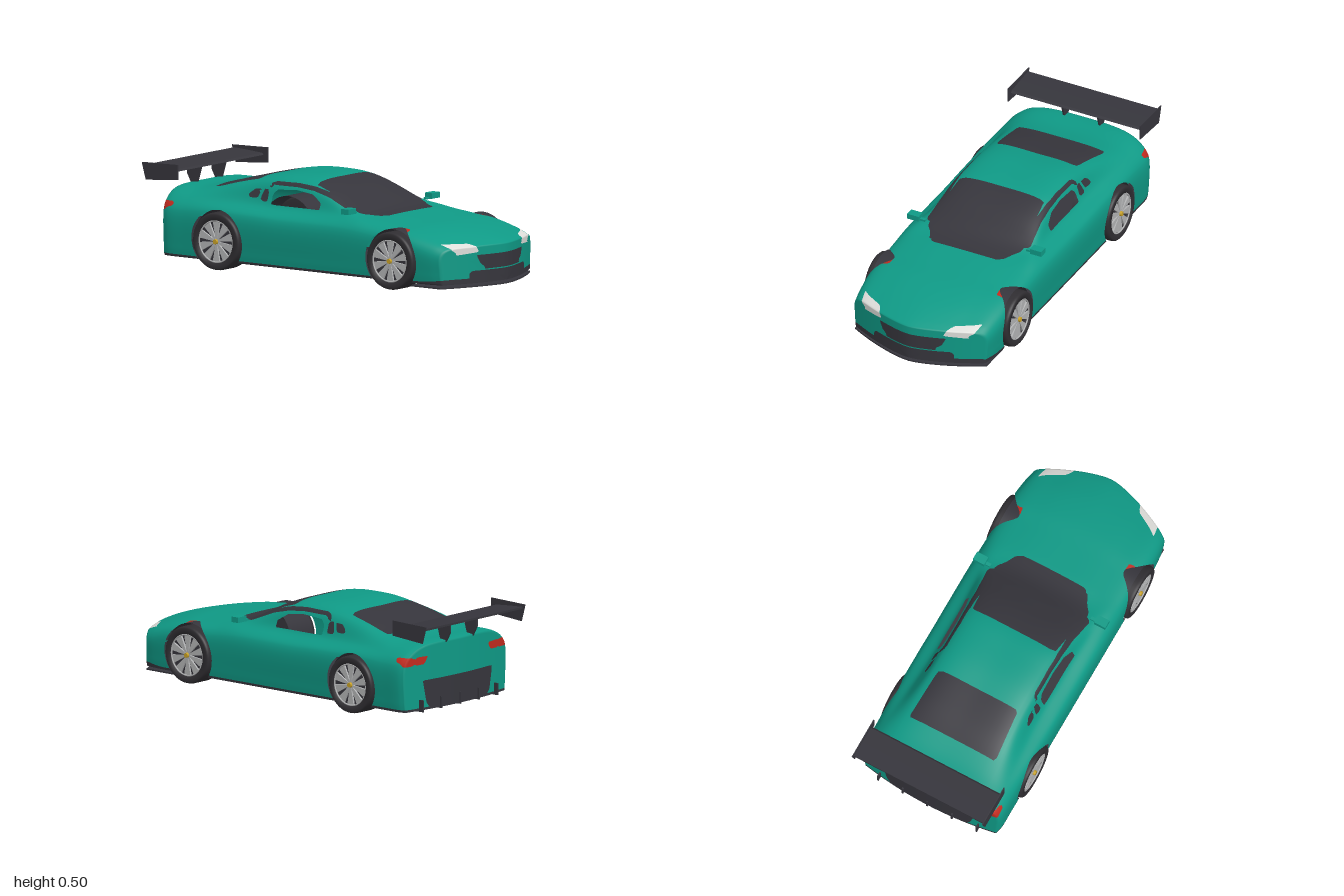
import * as THREE from 'three';

const mat = (name, color) => Object.assign(new THREE.MeshStandardMaterial({ color, side: THREE.DoubleSide }), { name });
const { smoothstep } = THREE.MathUtils;

// Body stations: z, half width, side top y, shoulder x, y, roof edge x, y, centre y
const STATIONS = [
  [1.0, .37, .19, .342, .217, .2, .228, .23],
  [.95, .38, .2, .35, .235, .22, .246, .25],
  [.84, .387, .225, .355, .26, .22, .278, .283],
  [.7, .388, .245, .357, .28, .22, .303, .31],
  [.57, .388, .25, .357, .288, .22, .314, .322],
  [.43, .388, .262, .352, .303, .22, .328, .335],
  [.31, .388, .275, .338, .325, .25, .338, .347],
  [.2, .388, .28, .325, .335, .27, .375, .4],
  [.09, .388, .28, .315, .34, .262, .42, .45],
  [-.02, .388, .28, .31, .34, .255, .45, .48],
  [-.14, .388, .28, .31, .34, .25, .46, .487],
  [-.26, .388, .285, .31, .34, .25, .458, .484],
  [-.38, .388, .287, .315, .342, .25, .443, .466],
  [-.5, .388, .29, .325, .342, .255, .42, .441],
  [-.62, .388, .287, .335, .34, .26, .392, .41],
  [-.74, .388, .28, .345, .335, .262, .375, .386],
  [-.86, .386, .28, .343, .335, .262, .372, .382],
  [-.895, .376, .28, .338, .33, .258, .368, .378],
];
const WHEEL_Z = [.57, -.517], WHEEL_Y = .145, FLOOR = .045;

// Bows the nose and tail in plan
function bow(x, z) {
  const nose = smoothstep(z, .45, 1) * (.2 * (Math.sqrt(x * x + .0016) - .04) + .5 * x * x);
  return z - nose + smoothstep(-z, .6, .9) * .25 * x * x;
}

// Smooth closed shell, returned as triangles of [x, y, z, nx, ny, nz]
function bodyTriangles() {
  const controls = STATIONS.map(([z, w, sy, bx, by, rx, ry, ty]) => {
    const half = [[w * .985, FLOOR], [w, .1], [w, sy], [bx, by], [rx, ry]];
    const mirrored = half.map(([x, y]) => [-x, y]).reverse();
    return [...half, [0, ty], ...mirrored].map(([x, y]) => new THREE.Vector3(x, y, z));
  });
  const rails = controls[0].map((_, k) => new THREE.CatmullRomCurve3(controls.map(c => c[k])));
  const steps = (STATIONS.length - 1) * 6, rings = [];
  for (let i = 0; i <= steps; i++) {
    const ring = new THREE.CatmullRomCurve3(rails.map(r => r.getPoint(i / steps))).getPoints(80);
    const a = ring[80], b = ring[0];
    for (let j = 1; j <= 16; j++) ring.push(a.clone().lerp(b, j / 16));
    rings.push(ring);
  }
  // Nose and tail are closed by rings shrinking to the floor line
  const shrink = (ring, s) => ring.map(p => new THREE.Vector3(p.x * s, FLOOR + (p.y - FLOOR) * s, p.z));
  const caps = [.97, .85, .7, .55, .4, .25, .12, 0];
  const first = rings[0], last = rings[steps];
  caps.forEach(s => { rings.unshift(shrink(first, s)); rings.push(shrink(last, s)); });

  const n = first.length, pos = [], index = [];
  rings.forEach(r => r.forEach(p => pos.push(p.x, p.y, bow(p.x, p.z))));
  for (let i = 0; i < rings.length - 1; i++) for (let j = 0; j < n - 1; j++) {
    const a = i * n + j, b = a + n;
    index.push(a, b, a + 1, b, b + 1, a + 1);
  }
  const g = new THREE.BufferGeometry();
  g.setAttribute('position', new THREE.Float32BufferAttribute(pos, 3));
  g.setIndex(index);
  g.computeVertexNormals();
  const nor = g.attributes.normal.array;
  const vert = i => [...pos.slice(i * 3, i * 3 + 3), ...nor.slice(i * 3, i * 3 + 3)];
  const tris = [];
  for (let i = 0; i < index.length; i += 3) tris.push([vert(index[i]), vert(index[i + 1]), vert(index[i + 2])]);
  return tris;
}

// Splits triangles along f = 0 into [inside, outside]
function split(tris, f) {
  const out = [[], []];
  for (const t of tris) {
    const d = t.map(v => f(...v));
    [-1, 1].forEach((s, side) => {
      const p = [];
      for (let k = 0; k < 3; k++) {
        const m = (k + 1) % 3;
        if (d[k] * s > 0 || (d[k] === 0 && s > 0)) p.push(t[k]);
        if (d[k] * d[m] < 0) p.push(t[k].map((c, q) => c + (t[m][q] - c) * d[k] / (d[k] - d[m])));
      }
      for (let k = 2; k < p.length; k++) out[side].push([p[0], p[k - 1], p[k]]);
    });
  }
  return out;
}

// Signed distance to a convex polygon, negative inside
function poly(...pts) {
  const next = i => pts[(i + 1) % pts.length];
  const dir = Math.sign(pts.reduce((s, a, i) => s + a[0] * next(i)[1] - a[1] * next(i)[0], 0));
  return (u, v) => Math.max(...pts.map((a, i) => {
    const e = [next(i)[0] - a[0], next(i)[1] - a[1]];
    return dir * ((u - a[0]) * e[1] - (v - a[1]) * e[0]) / Math.hypot(...e);
  }));
}
const onTop = (p, minY) => (x, y, z) => Math.max(p(x, z), minY - y);
const onSide = (p, minX) => (x, y, z) => Math.max(p(z, y), minX - Math.abs(x));
const onFront = p => (x, y, z) => Math.max(p(Math.abs(x), y), .8 - z);
const onRear = p => (x, y, z) => Math.max(p(Math.abs(x), y), z + .8);

function trisMesh(tris, material, name) {
  const g = new THREE.BufferGeometry(), verts = tris.flat();
  g.setAttribute('position', new THREE.Float32BufferAttribute(verts.flatMap(v => v.slice(0, 3)), 3));
  g.setAttribute('normal', new THREE.Float32BufferAttribute(verts.flatMap(v => v.slice(3)), 3));
  return Object.assign(new THREE.Mesh(g, material), { name });
}

export function createModel() {
  const paint = mat('teal paint', 0x0f9a86), dark = mat('dark trim', 0x36353c), rubber = mat('tyre rubber', 0x302e32);
  const lamp = mat('headlight white', 0xdededa), red = mat('tail light red', 0xc02a1e);
  const silver = mat('rim silver', 0xb2b3b4), gold = mat('hub gold', 0xc9a227);
  const car = new THREE.Group();
  car.name = 'sportsCar';
  const add = (parent, name, geo, material, x = 0, y = 0, z = 0) => {
    const m = new THREE.Mesh(geo, material);
    m.name = name;
    m.position.set(x, y, z);
    parent.add(m);
    return m;
  };

  // Body: openings (no material) and coloured panels are cut from the shell
  const arch = wz => (x, y, z) => Math.max(Math.hypot(z - wz, y - WHEEL_Y) - .158, .2 - Math.abs(x));
  const trimOuter = poly([.28, .35], [.2, .388], [.1, .428], [0, .452], [-.1, .46], [-.25, .458], [-.28, .44], [-.28, .35]);
  const trimInner = poly([.27, .3], [.24, .352], [.1, .408], [0, .432], [-.1, .441], [-.245, .44], [-.262, .43], [-.262, .3]);
  const regions = [
    ['frontArch', null, arch(WHEEL_Z[0])],
    ['rearArch', null, arch(WHEEL_Z[1])],
    ['sideWindowOpening', null, onSide(poly([.06, .345], [.06, .378], [0, .415], [-.1, .427], [-.22, .42], [-.245, .395], [-.245, .345]), .2)],
    ['underside', dark, (x, y, z) => y - .057 - .013 * smoothstep(z, .75, .9)],
    ['windscreen', dark, onTop(poly([-.235, -.01], [.235, -.01], [.265, .28], [.19, .405], [-.19, .405], [-.265, .28]), .33)],
    ['rearWindow', dark, onTop(poly([-.245, -.64], [.245, -.64], [.225, -.37], [-.225, -.37]), .34)],
    ['windowTrim', dark, onSide((z, y) => Math.max(trimOuter(z, y), -trimInner(z, y)), .245)],
    ['quarterWindowFront', dark, onSide(poly([-.272, .355], [-.272, .415], [-.3, .42], [-.32, .36]), .24)],
    ['quarterWindowRear', dark, onSide(poly([-.335, .37], [-.318, .415], [-.36, .412], [-.395, .385], [-.385, .37]), .24)],
    ['grille', dark, onFront(poly([-.2, .185], [.187, .185], [.15, .113], [-.2, .113]))],
    ['lowerIntake', dark, onFront(poly([-.3, .107], [.225, .107], [.225, .04], [-.3, .04]))],
    ['headlights', lamp, onFront(poly([.33, .245], [.195, .241], [.172, .2], [.3, .19]))],
    ['tailLights', red, onRear(poly([.17, .315], [.38, .32], [.38, .275], [.17, .28]))],
    ['diffuserPanel', dark, onRear(poly([-.3, .195], [.26, .195], [.23, .05], [-.3, .05]))],
    ['sideMarkers', red, onSide(poly([.58, .29], [.58, .304], [.635, .304], [.635, .29]), .3)],
  ];
  let shell = bodyTriangles();
  for (const [name, material, f] of regions) {
    const [inside, outside] = split(shell, f);
    shell = outside;
    if (material) car.add(trisMesh(inside, material, name));
  }
  car.add(trisMesh(shell, paint, 'bodyShell'));

  // Front splitter follows the nose
  const lip = new THREE.Shape([new THREE.Vector2(-.37, .68), new THREE.Vector2(.37, .68)]);
  for (let i = 0; i <= 20; i++) { const x = .37 - .037 * i; lip.lineTo(x, bow(x, 1)); }
  const lipGeo = new THREE.ExtrudeGeometry(lip, { depth: .007, bevelEnabled: false }).rotateX(Math.PI / 2);
  add(car, 'frontSplitter', lipGeo, dark, 0, .032);

  // Wheels, built facing +y and then turned outwards
  const V = (x, y) => new THREE.Vector2(x, y);
  const tyre = new THREE.LatheGeometry([V(.09, 0), V(.132, 0), V(.142, .006), V(.145, .018), V(.145, .107),
    V(.142, .119), V(.135, .125), V(.108, .123), V(.105, .1)], 48);
  const spoke = new THREE.ExtrudeGeometry(new THREE.Shape([V(.012, -.004), V(.102, -.021), V(.102, .021), V(.012, .004)]),
    { depth: .01, bevelEnabled: false }).rotateX(-Math.PI / 2);
  const liner = new THREE.CylinderGeometry(.158, .158, .17, 48, 1, true, -.69, 4.52);
  for (const z of WHEEL_Z) for (const s of [1, -1]) {
    const wheel = new THREE.Group();
    wheel.name = (z > 0 ? 'front' : 'rear') + (s > 0 ? 'Left' : 'Right') + 'Wheel';
    wheel.position.set(s * .28, WHEEL_Y, z);
    wheel.rotation.z = -s * Math.PI / 2;
    add(wheel, 'tyre', tyre, rubber);
    add(wheel, 'rimBack', new THREE.CylinderGeometry(.107, .107, .1, 40), dark, 0, .054);
    add(wheel, 'rimRing', new THREE.TorusGeometry(.104, .004, 8, 40).rotateX(Math.PI / 2), silver, 0, .118);
    for (let i = 0; i < 10; i++) add(wheel, 'spoke', spoke, silver, 0, .107).rotation.y = i * Math.PI / 5;
    add(wheel, 'hub', new THREE.CylinderGeometry(.012, .015, .03, 12), gold, 0, .114);
    car.add(wheel);
    add(car, 'archLiner', liner, dark, s * .285, WHEEL_Y, z).rotation.z = Math.PI / 2;
  }

  // Rear wing with end plates and struts
  const extrudeSide = (pts, width) => new THREE.ExtrudeGeometry(new THREE.Shape(pts.map(([z, y]) => V(-z, y))),
    { depth: width, bevelEnabled: false }).rotateY(Math.PI / 2).translate(-width / 2, 0, 0);
  const plane = [[-.8, .465], [-.82, .461], [-.9, .463], [-.985, .477], [-.985, .487], [-.9, .482], [-.81, .475]];
  add(car, 'wingPlane', extrudeSide(plane, .74), dark);
  const plate = extrudeSide([[-.775, .505], [-1, .5], [-.975, .413], [-.775, .428]], .005);
  const strut = extrudeSide([[-.83, .465], [-.92, .468], [-.92, .42], [-.89, .365], [-.86, .365]], .01);
  for (const s of [1, -1]) {
    add(car, 'wingEndPlate', plate, dark, s * .371);
    add(car, 'wingStrut', strut, dark, s * .1);
    // Door mirrors
    add(car, 'mirror', new THREE.BoxGeometry(.064, .028, .045), paint, s * .345, .363, .272);
    add(car, 'mirrorStalk', new THREE.BoxGeometry(.05, .01, .018), paint, s * .31, .352, .27);
  }

  // Diffuser fins
  for (let i = -2; i <= 2; i++) add(car, 'diffuserFin', new THREE.BoxGeometry(.008, .06, .09), dark, i * .14, .07, -.855);
  return car;
}
